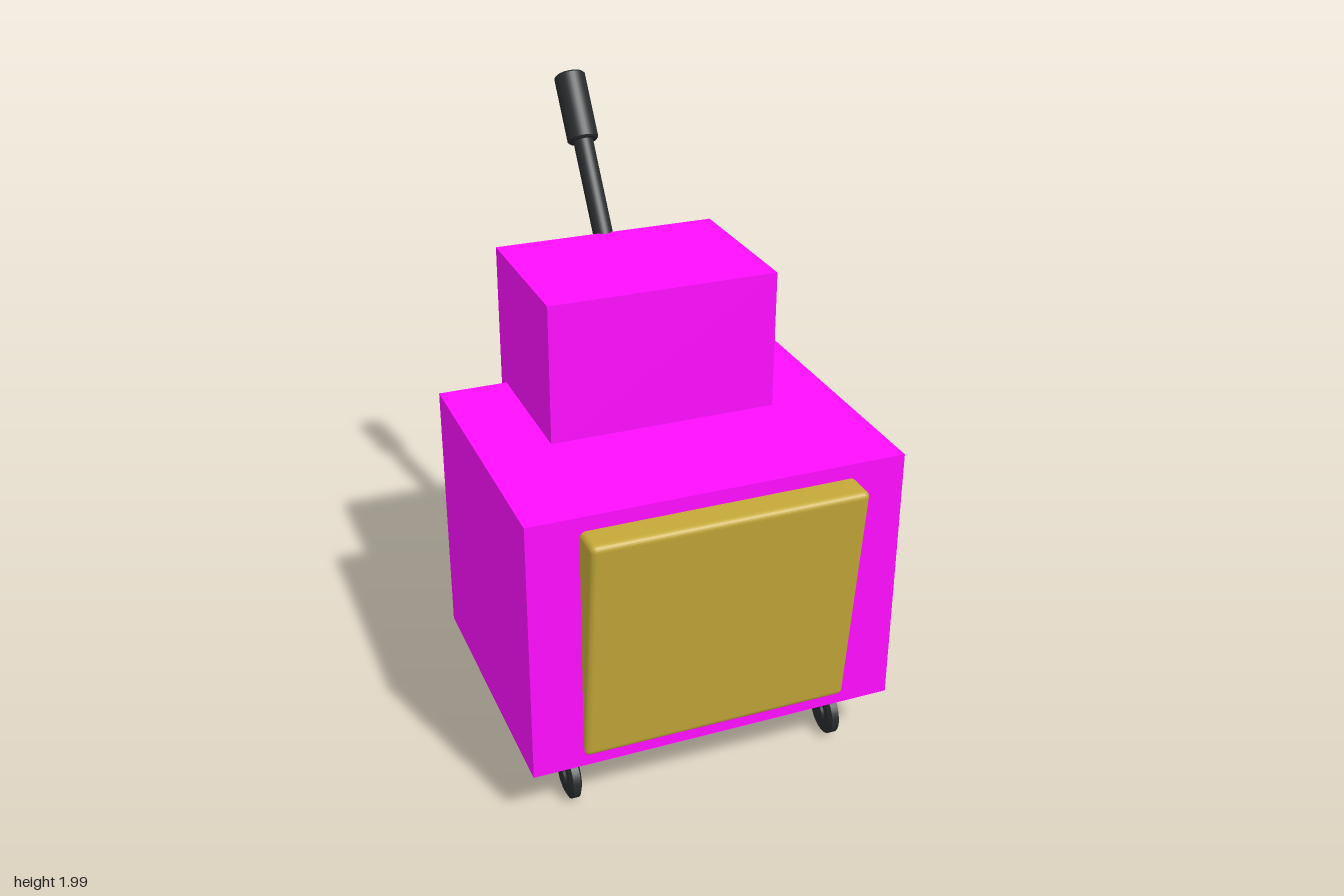
import * as THREE from 'three';
import { RoundedBoxGeometry } from 'three/addons/geometries/RoundedBoxGeometry.js';

const magenta = new THREE.MeshStandardMaterial({ color: 0xff0dff });
const gold = new THREE.MeshStandardMaterial({ color: 0xc4a838 });
const black = new THREE.MeshStandardMaterial({ color: 0x282b2d });

function add(parent, name, geometry, material, x = 0, y = 0, z = 0) {
  const mesh = new THREE.Mesh(geometry, material);
  mesh.name = name;
  mesh.position.set(x, y, z);
  parent.add(mesh);
  return mesh;
}

// Solid of revolution with crisp edges: each profile segment is its own lathe band
function addTurned(parent, name, profile, segments = 32) {
  const group = new THREE.Group();
  group.name = name;
  for (let i = 0; i < profile.length - 1; i++) {
    const pair = [profile[i], profile[i + 1]].map(([r, y]) => new THREE.Vector2(r, y));
    add(group, name + 'Band', new THREE.LatheGeometry(pair, segments), black);
  }
  parent.add(group);
  return group;
}

// Bucket that widens towards its top, front and back
function tubGeometry() {
  const height = 0.795;
  const geometry = new RoundedBoxGeometry(0.88, height, 1, 3, 0.02);
  const p = geometry.attributes.position;
  for (let i = 0; i < p.count; i++) {
    const t = p.getY(i) / height + 0.5;
    p.setZ(i, p.getZ(i) * THREE.MathUtils.lerp(0.938, 1.118, t));
  }
  geometry.computeVertexNormals();
  return geometry;
}

function createCaster(x, z) {
  const caster = new THREE.Group();
  caster.name = 'caster';
  caster.position.set(x, 0.08, z);
  add(caster, 'casterStem', new THREE.CylinderGeometry(0.025, 0.025, 0.12, 20), black, 0, 0.08, 0);
  // Wheel with bevelled tread and raised hubs, axle along x
  const wheel = addTurned(caster, 'wheel', [
    [0, -0.028], [0.03, -0.028], [0.033, -0.02], [0.06, -0.02], [0.077, -0.012],
    [0.077, 0.012], [0.06, 0.02], [0.033, 0.02], [0.03, 0.028], [0, 0.028],
  ]);
  wheel.rotation.z = Math.PI / 2;
  return caster;
}

export function createModel() {
  const model = new THREE.Group();
  model.name = 'mopBucketCart';

  // Main housing, wringer housing above it, and the tub showing front and back
  add(model, 'bodyHousing', new THREE.BoxGeometry(1.204, 0.877, 0.92), magenta, 0, 0.6365, 0.17);
  add(model, 'wringerHousing', new THREE.BoxGeometry(0.746, 0.48, 0.526), magenta, 0, 1.29, -0.083);
  add(model, 'tub', tubGeometry(), gold, 0, 0.63, 0.171);

  // Lever leaning backwards, with a thicker grip
  const lever = new THREE.Group();
  lever.name = 'lever';
  lever.position.set(0, 1.478, -0.339);
  lever.rotation.x = -0.607;
  addTurned(lever, 'leverShaft', [[0, 0], [0.033, 0], [0.033, 0.4], [0, 0.4]]);
  addTurned(lever, 'leverGrip', [
    [0, 0.37], [0.046, 0.37], [0.052, 0.376], [0.052, 0.595], [0.046, 0.601], [0, 0.601],
  ]);
  model.add(lever);

  // Four casters
  for (const x of [-0.45, 0.45])
    for (const z of [0.513, -0.167]) model.add(createCaster(x, z));

  return model;
}
